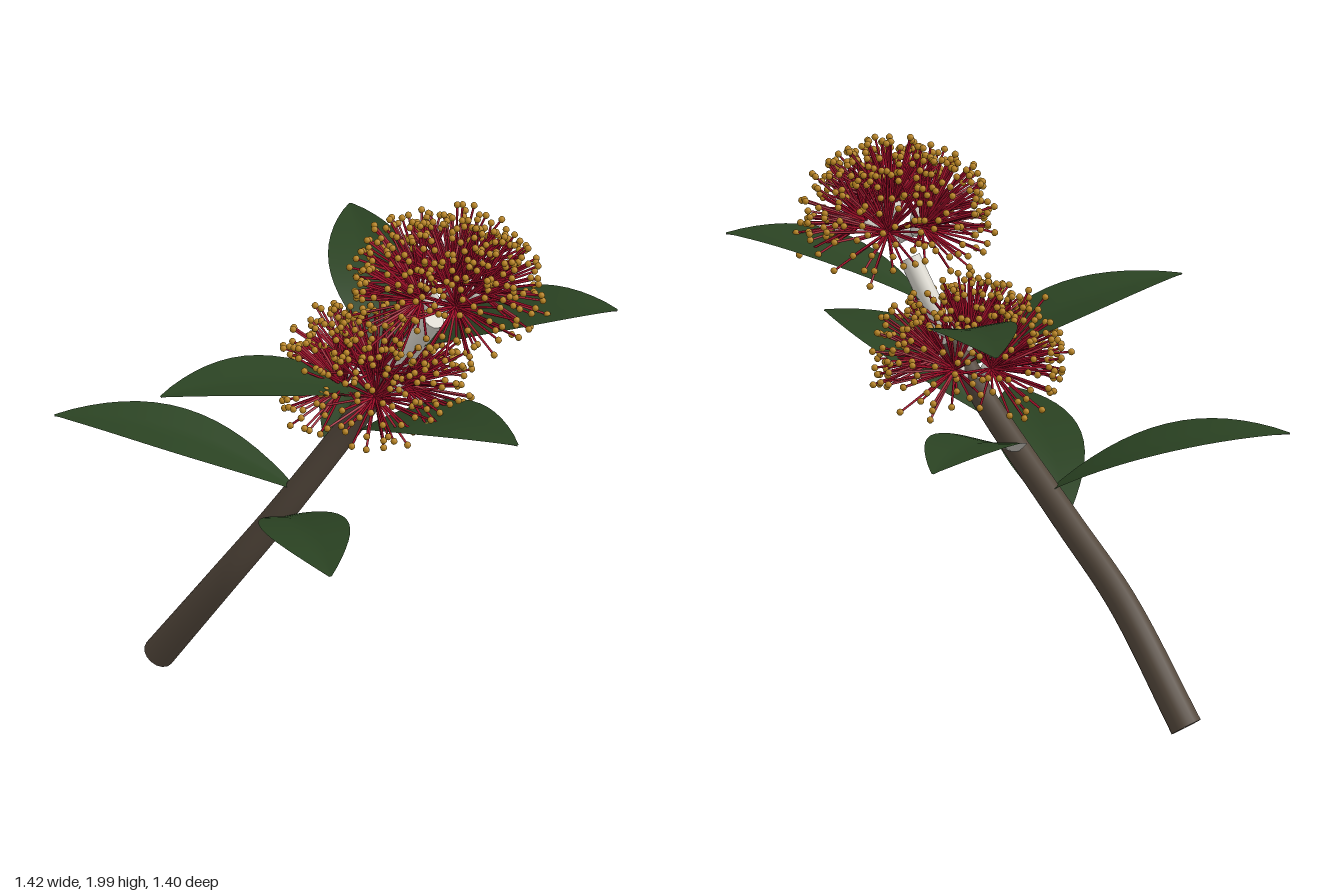
import * as THREE from 'three';
import { mergeGeometries } from 'three/addons/utils/BufferGeometryUtils.js';

const V = (x, y, z) => new THREE.Vector3(x, y, z);
const UP = V(0, 1, 0);

const material = (name, color) => {
  const m = new THREE.MeshStandardMaterial({ color });
  m.name = name;
  return m;
};

function seeded(seed) {
  return () => {
    seed = (seed * 16807) % 2147483647;
    return seed / 2147483647;
  };
}

function addMesh(parent, name, geometry, mat) {
  const mesh = new THREE.Mesh(geometry, mat);
  mesh.name = name;
  parent.add(mesh);
}

// Tube along a curve, tapering from r0 to r1, with both ends closed
function taperedTube(curve, r0, r1, segments, sides) {
  const tube = new THREE.TubeGeometry(curve, segments, 1, sides);
  const pos = tube.attributes.position;
  const p = V(0, 0, 0);
  for (let i = 0; i <= segments; i++) {
    const c = curve.getPointAt(i / segments);
    for (let j = 0; j <= sides; j++) {
      const k = i * (sides + 1) + j;
      p.fromBufferAttribute(pos, k).sub(c).multiplyScalar(r0 + (r1 - r0) * i / segments).add(c);
      pos.setXYZ(k, p.x, p.y, p.z);
    }
  }
  const caps = [[0, r0, -1], [1, r1, 1]].map(([u, r, sign]) => {
    const q = new THREE.Quaternion().setFromUnitVectors(V(0, 0, 1), curve.getTangentAt(u).multiplyScalar(sign));
    const c = curve.getPointAt(u);
    return new THREE.CircleGeometry(r, sides).applyQuaternion(q).translate(c.x, c.y, c.z);
  });
  return mergeGeometries([tube, ...caps]);
}

// One face of an arched, pointed leaf blade; the underside bulges down a little
function leafFace(base, tip, halfWidth, under) {
  const rows = 16, cols = 8, pts = [], index = [];
  const bend = base.clone().lerp(tip, 0.45).setY(tip.y + 0.015);
  const spine = new THREE.QuadraticBezierCurve3(base, bend, tip);
  const right = tip.clone().sub(base).setY(0).normalize().cross(UP);
  for (let i = 0; i <= rows; i++) {
    const t = i / rows;
    const p = spine.getPoint(t);
    const w = 0.004 + halfWidth * Math.pow(Math.sin(Math.PI * t), 0.9);
    for (let j = 0; j <= cols; j++) {
      const s = j / cols * 2 - 1;
      const thick = under ? 0.005 * (1 - s * s) : 0;
      const y = p.y + 0.016 * Math.abs(s) * (w / halfWidth) - thick;
      pts.push(p.x + right.x * w * s, y, p.z + right.z * w * s);
      if (i < rows && j < cols) {
        const a = i * (cols + 1) + j, b = a + 1, c = a + cols + 1, d = c + 1;
        index.push(...(under ? [a, c, b, b, c, d] : [a, b, c, b, d, c]));
      }
    }
  }
  const g = new THREE.BufferGeometry();
  g.setAttribute('position', new THREE.Float32BufferAttribute(pts, 3));
  g.setIndex(index);
  g.computeVertexNormals();
  return g;
}

// Thin rod geometry between two points
function rod(a, b, r0, r1, sides) {
  const d = b.clone().sub(a);
  const q = new THREE.Quaternion().setFromUnitVectors(UP, d.clone().normalize());
  const m = a.clone().add(b).multiplyScalar(0.5);
  return new THREE.CylinderGeometry(r1, r0, d.length(), sides, 1, true)
    .applyQuaternion(q).translate(m.x, m.y, m.z);
}

// Dome of flowers: each has a stalk, a pale cup and a brush of stamens
function flowerCluster(name, hub, axes, mats, rand) {
  const group = new THREE.Group();
  group.name = name;
  const stalks = [], cups = [], stamens = [], anthers = [];
  const cupProfile = [[0, -0.045], [0.018, -0.04], [0.03, -0.018], [0.031, 0.004], [0.024, 0.014], [0, 0.012]]
    .map(([x, y]) => new THREE.Vector2(x, y));
  const perFlower = 56;
  for (const [tilt, turn] of axes) {
    const axis = V(Math.sin(tilt) * Math.cos(turn), Math.cos(tilt), Math.sin(tilt) * Math.sin(turn));
    const q = new THREE.Quaternion().setFromUnitVectors(UP, axis);
    const centre = hub.clone().addScaledVector(axis, 0.125);
    stalks.push(rod(hub, centre, 0.012, 0.014, 6));
    cups.push(new THREE.LatheGeometry(cupProfile, 10).applyQuaternion(q).translate(centre.x, centre.y, centre.z));
    for (let i = 0; i < perFlower; i++) {
      const spread = Math.acos(1 - (i + 0.5) / perFlower * 0.62) + (rand() - 0.5) * 0.14;
      const around = i * 2.39996 + rand() * 0.4;
      const dir = V(Math.sin(spread) * Math.cos(around), Math.cos(spread), Math.sin(spread) * Math.sin(around))
        .applyQuaternion(q);
      const start = centre.clone().addScaledVector(dir, 0.012);
      const end = centre.clone().addScaledVector(dir, 0.19 + rand() * 0.065);
      stamens.push(rod(start, end, 0.005, 0.004, 5));
      anthers.push(new THREE.SphereGeometry(0.0118, 8, 6).translate(end.x, end.y, end.z));
    }
  }
  addMesh(group, 'flowerStalks', mergeGeometries(stalks), mats.down);
  addMesh(group, 'flowerCups', mergeGeometries(cups), mats.down);
  addMesh(group, 'stamens', mergeGeometries(stamens), mats.red);
  addMesh(group, 'anthers', mergeGeometries(anthers), mats.gold);
  return group;
}

export function createModel() {
  const model = new THREE.Group();
  model.name = 'floweringBranch';
  const mats = {
    bark: material('bark brown', 0x55493d),
    down: material('downy white', 0xdad7ce),
    leaf: material('leaf green', 0x2a4222),
    under: material('leaf underside grey', 0xd0cdc5),
    red: material('stamen crimson', 0xa00c28),
    gold: material('anther gold', 0xb8831f),
  };

  // Woody stem and its pale young tip
  const stem = new THREE.CatmullRomCurve3([
    V(-0.59, 0.035, 0.315), V(-0.33, 0.42, 0.25), V(-0.18, 0.7, 0.13),
    V(0.01, 1.11, -0.06), V(0.12, 1.32, -0.125)]);
  addMesh(model, 'stem', taperedTube(stem, 0.055, 0.04, 32, 16), mats.bark);
  const tip = new THREE.CatmullRomCurve3([V(0.115, 1.31, -0.124), V(0.2, 1.45, -0.155), V(0.28, 1.575, -0.172)]);
  addMesh(model, 'youngStemTip', taperedTube(tip, 0.037, 0.037, 10, 16), mats.down);

  // Leaves: base point, tip point
  const leaves = [
    [V(-0.18, 0.69, 0.12), V(0.5, 0.9, 0.44)],
    [V(-0.14, 0.8, 0.08), V(-0.71, 1.04, 0.665)],
    [V(-0.07, 0.94, 0), V(-0.495, 1.16, -0.7)],
    [V(0.02, 1.06, -0.055), V(0.7, 1.27, -0.2)],
    [V(0.09, 1.21, -0.1), V(-0.09, 1.42, 0.7)],
    [V(0.12, 1.32, -0.13), V(-0.54, 1.53, -0.46)],
    [V(0.2, 1.43, -0.155), V(0.705, 1.645, -0.62)],
  ];
  for (const [base, end] of leaves) {
    const leaf = new THREE.Group();
    leaf.name = 'leaf';
    addMesh(leaf, 'leafTop', leafFace(base, end, 0.142, false), mats.leaf);
    addMesh(leaf, 'leafUnderside', leafFace(base, end, 0.142, true), mats.under);
    model.add(leaf);
  }

  // Two flower clusters: one upright flower in a ring of leaning ones
  const ring = (n, tilt, phase) => Array.from({ length: n }, (_, i) => [tilt, phase + i * 2 * Math.PI / n]);
  const rand = seeded(4217);
  model.add(flowerCluster('upperFlowers', V(0.325, 1.625, -0.19),
    [[0.3, 0.2], ...ring(5, 0.95, 0.35)], mats, rand));
  model.add(flowerCluster('lowerFlowers', V(0.055, 1.185, -0.09),
    [[0.25, 0.3], ...ring(5, 0.97, 0.6)], mats, rand));
  return model;
}
